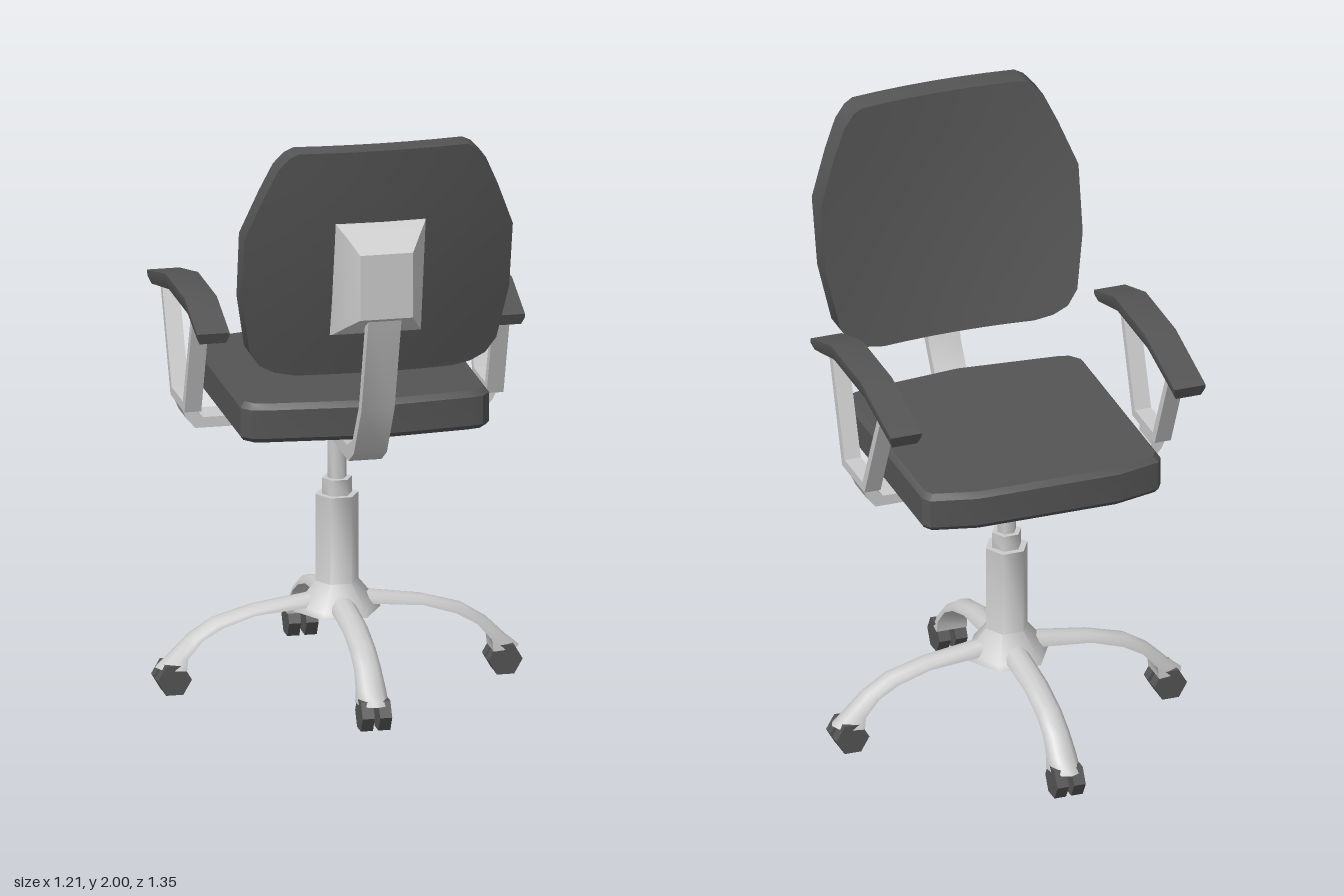
import * as THREE from 'three';
import { toCreasedNormals } from 'three/addons/utils/BufferGeometryUtils.js';

const V = (x, y, z) => new THREE.Vector3(x, y, z);
const grey = new THREE.MeshStandardMaterial({ color: 0xcccccc });
const dark = new THREE.MeshStandardMaterial({ color: 0x555555 });

// Closed solid through equal-sized rings of points, with capped ends, faces turned outwards
function loft(rings, crease = 0.6) {
  const n = rings[0].length, tris = [];
  for (let i = 0; i + 1 < rings.length; i++) {
    for (let j = 0; j < n; j++) {
      const k = (j + 1) % n;
      const [a, b, c, d] = [rings[i][j], rings[i][k], rings[i + 1][k], rings[i + 1][j]];
      tris.push([a, b, c], [a, c, d]);
    }
  }
  for (const [ring, flip] of [[rings[0], true], [rings[rings.length - 1], false]]) {
    const mid = ring.reduce((s, p) => s.add(p), V(0, 0, 0)).divideScalar(n);
    ring.forEach((p, j) => {
      const q = ring[(j + 1) % n];
      tris.push(flip ? [mid, q, p] : [mid, p, q]);
    });
  }
  const origin = rings[0][0];
  let volume = 0;
  for (const t of tris) {
    const [a, b, c] = t.map((p) => p.clone().sub(origin));
    volume += a.dot(b.cross(c));
  }
  if (volume < 0) tris.forEach((t) => t.reverse());
  const geo = new THREE.BufferGeometry().setFromPoints(tris.flat());
  return toCreasedNormals(geo, crease);
}

// Bar through stations [outerA, outerB, innerA, innerB, halfWidth]; place() maps (across, a, b) to space
const RECT = [[-1, 0], [1, 0], [1, 1], [-1, 1]];
const HALF_ROUND = [[-1, 0], [1, 0], [0.92, 0.45], [0.55, 0.87], [0, 1], [-0.55, 0.87], [-0.92, 0.45]];
const PAD = [[-0.8, 0], [0.8, 0], [1, 0.6], [1, 1], [-1, 1], [-1, 0.6]];
function bar(stations, section, place, crease) {
  return loft(stations.map(([oa, ob, ia, ib, hw]) =>
    section.map(([u, t]) => place(u * hw, ia + (oa - ia) * t, ib + (ob - ib) * t))), crease);
}

export function createModel() {
  const model = new THREE.Group();
  const add = (name, geo, mat, parent = model) => {
    const mesh = new THREE.Mesh(geo, mat);
    mesh.name = name;
    parent.add(mesh);
    return mesh;
  };
  const axisZ = -0.065;

  // Six-sided column with flared hub, sleeve, collar and gas lift
  const profile = [[0, 0.245], [0.145, 0.245], [0.137, 0.265], [0.072, 0.345], [0.072, 0.638], [0.05, 0.638],
    [0.05, 0.692], [0.032, 0.692], [0.032, 0.87]].map(([r, y]) => new THREE.Vector2(r, y));
  const column = add('column', toCreasedNormals(new THREE.LatheGeometry(profile, 6), 1.1), grey);
  column.rotation.y = Math.PI / 2;
  column.position.z = axisZ;

  // Four arched legs, each with a twin-wheel caster
  const legStations = [
    [0.05, 0.315, 0.05, 0.265, 0.043], [0.11, 0.304, 0.12, 0.265, 0.043], [0.28, 0.278, 0.28, 0.25, 0.043],
    [0.415, 0.24, 0.39, 0.214, 0.043], [0.495, 0.188, 0.457, 0.175, 0.045], [0.558, 0.125, 0.505, 0.12, 0.05],
    [0.605, 0.085, 0.51, 0.08, 0.053]];
  const legGeo = bar(legStations, HALF_ROUND, (u, r, y) => V(r, y, u), 0.9);
  const wheelGeo = toCreasedNormals(new THREE.CylinderGeometry(0.057, 0.057, 0.04, 6), 0.3);
  wheelGeo.rotateY(Math.PI / 2).rotateX(Math.PI / 2);
  for (let i = 0; i < 4; i++) {
    const leg = new THREE.Group();
    leg.name = 'legWithCaster';
    leg.position.z = axisZ;
    leg.rotation.y = i * Math.PI / 2;
    add('leg', legGeo, grey, leg);
    for (const s of [-1, 1]) add('wheel', wheelGeo, dark, leg).position.set(0.55, 0.05, s * 0.029);
    const axle = add('casterAxle', new THREE.BoxGeometry(0.03, 0.04, 0.05), dark, leg);
    axle.position.set(0.55, 0.085, 0);
    model.add(leg);
  }

  // Tapered mechanism box under the seat
  const rect = (hx, hz, y) => RECT.map(([u, t]) => V(u * hx, y, axisZ + (2 * t - 1) * hz));
  add('seatMechanism', loft([rect(0.11, 0.115, 0.855), rect(0.165, 0.212, 0.95)]), dark);

  // Seat cushion: one outline, slightly inset at the bottom and top edges
  const half = [[0, -0.487], [0.245, -0.487], [0.395, -0.45], [0.413, -0.42], [0.413, 0.3],
    [0.385, 0.335], [0.345, 0.345], [0, 0.378]];
  const outline = [...half, ...half.slice(1, -1).reverse().map(([x, z]) => [-x, z])];
  const seatRing = (y, k) => outline.map(([x, z]) => V(0.012 + x * k, y, axisZ + (z - axisZ) * k));
  add('seat', loft([seatRing(0.947, 0.975), seatRing(0.962, 1), seatRing(1.058, 1), seatRing(1.077, 0.965)], 0.5), dark);

  // Backrest: rows by height, leaning back and wrapping forward at the sides
  const backZ = (x, y) => 0.465 + 0.2 * (y - 1.2) + 0.02 * Math.sin((y - 1.2) / 0.8 * Math.PI) - 0.045 * (x / 0.44) ** 2;
  const rows = [[1.203, 0.26], [1.215, 0.325], [1.24, 0.375], [1.29, 0.41], [1.475, 0.444],
    [1.7, 0.446], [1.85, 0.388], [1.945, 0.345], [1.985, 0.31], [2, 0.28]];
  const steps = [-1, -0.67, -0.33, 0, 0.33, 0.67, 1];
  const backRings = rows.map(([y, w]) => {
    const side = (depth) => steps.map((t) => V(0.005 + t * w, y, backZ(t * w, y) - depth));
    return [...side(0), ...side(0.085).reverse()];
  });
  add('backrest', loft(backRings), dark);

  // Flared bracket behind the backrest
  const bracketRing = (hx, y0, y1, z0, z1) => [V(-hx, y0, z0), V(hx, y0, z0), V(hx, y1, z1), V(-hx, y1, z1)];
  add('backBracket', loft([
    bracketRing(0.15, 1.345, 1.75, 0.49, 0.575), bracketRing(0.148, 1.355, 1.748, 0.525, 0.597),
    bracketRing(0.118, 1.4, 1.71, 0.6, 0.64), bracketRing(0.088, 1.445, 1.665, 0.68, 0.68)]), grey);

  // Bent spine from the mechanism up to the bracket
  add('spine', bar([
    [0.05, 0.872, 0.05, 0.92, 0.055], [0.355, 0.872, 0.33, 0.92, 0.055], [0.435, 0.92, 0.415, 0.96, 0.055],
    [0.55, 1.1, 0.51, 1.1, 0.055], [0.66, 1.45, 0.615, 1.45, 0.055]], RECT, (u, z, y) => V(u, y, z)), grey);

  // Armrests on both sides
  for (const s of [1, -1]) {
    const arm = new THREE.Group();
    arm.name = s > 0 ? 'leftArm' : 'rightArm';
    model.add(arm);
    add('armCrossbar', bar([
      [0.1, 0.9, 0.1, 0.935, 0.056], [0.48, 0.9, 0.455, 0.935, 0.056],
      [0.51, 0.935, 0.475, 0.955, 0.056], [0.53, 0.98, 0.475, 0.98, 0.056]],
    RECT, (u, x, y) => V(s * x, y, -0.081 + u)), grey);
    add('armFrame', bar([
      [0.165, 1.335, 0.137, 1.335, 0.028], [0.04, 0.975, 0.016, 1.005, 0.028],
      [-0.168, 0.975, -0.15, 1.005, 0.028], [-0.322, 1.315, -0.294, 1.315, 0.028]],
    RECT, (u, z, y) => V(s * 0.5025 + u, y, z)), grey);
    add('armPad', bar([
      [0.298, 1.315, 0.285, 1.278, 0.054], [0.105, 1.382, 0.105, 1.33, 0.054],
      [-0.175, 1.382, -0.175, 1.33, 0.054], [-0.455, 1.315, -0.437, 1.272, 0.054]],
    PAD, (u, z, y) => V(s * 0.491 + u, y, z)), dark);
  }
  return model;
}
